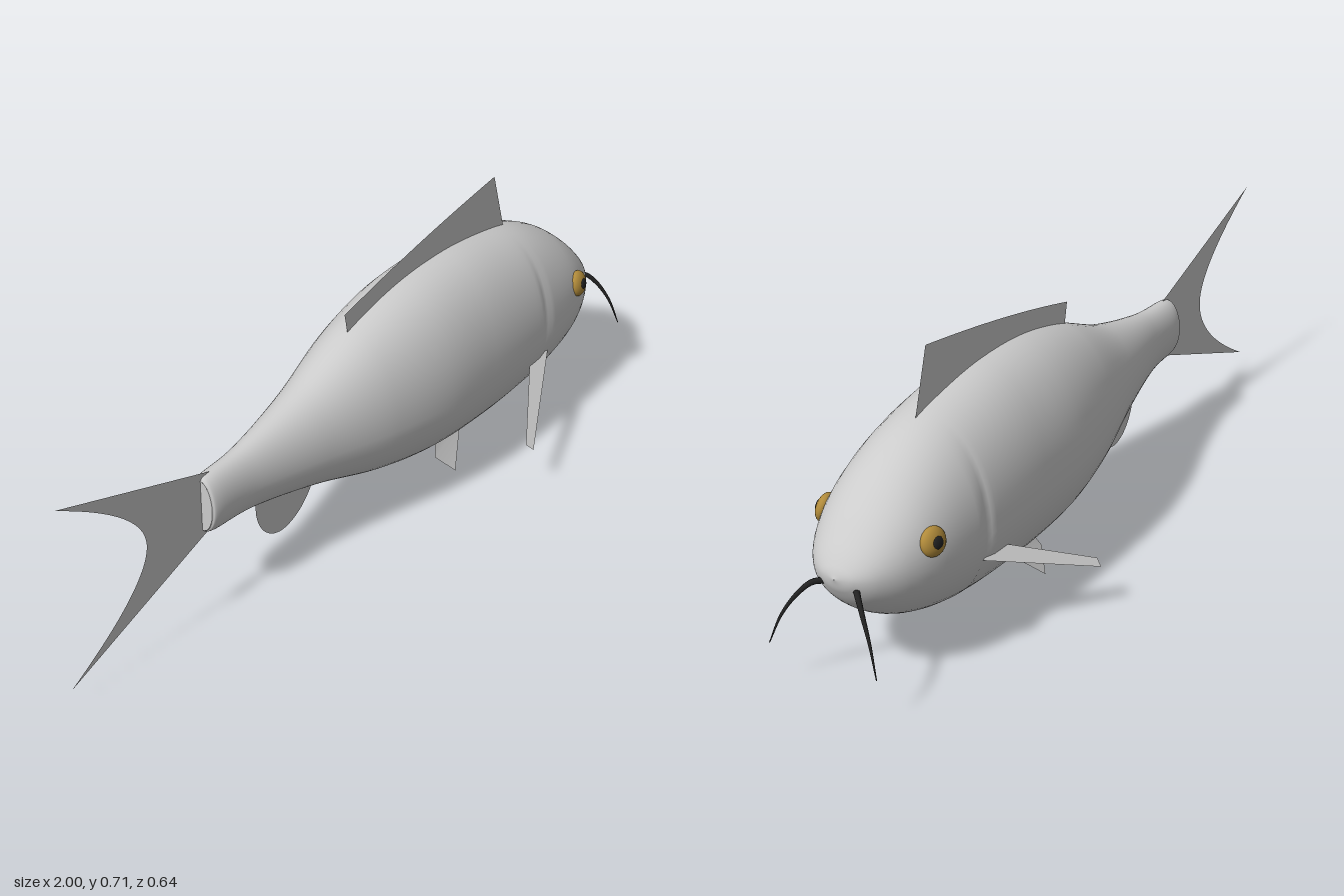
import * as THREE from 'three';
import { ParametricGeometry } from 'three/addons/geometries/ParametricGeometry.js';

// body stations, tail to nose: x, top, bottom, half width, height of widest line
const STATIONS = [
  [-0.552, 0.385, 0.242, 0.034, 0.313],
  [-0.53, 0.394, 0.234, 0.044, 0.313],
  [-0.4, 0.405, 0.226, 0.056, 0.31],
  [-0.2, 0.453, 0.182, 0.1, 0.302],
  [0, 0.535, 0.118, 0.152, 0.295],
  [0.18, 0.578, 0.084, 0.182, 0.29],
  [0.36, 0.587, 0.073, 0.187, 0.29],
  [0.52, 0.57, 0.078, 0.184, 0.29],
  [0.65, 0.54, 0.092, 0.175, 0.29],
  [0.76, 0.487, 0.124, 0.159, 0.292],
  [0.84, 0.426, 0.164, 0.13, 0.295],
  [0.9, 0.366, 0.215, 0.089, 0.296],
  [0.932, 0.325, 0.262, 0.046, 0.297],
  [0.944, 0.299, 0.297, 0.001, 0.298],
];

const material = (color = 0xcccccc, side = THREE.FrontSide) =>
  new THREE.MeshStandardMaterial({ color, side });
const skin = material();
const finSkin = material(0xcccccc, THREE.DoubleSide);
const gold = material(0xb08a3a);
const black = material(0x222222);

function part(name, geometry, mat) {
  const mesh = new THREE.Mesh(geometry, mat);
  mesh.name = name;
  return mesh;
}

// smooth body swept through the stations, with a shallow gill groove
function bodyGeometry() {
  const spine = new THREE.CatmullRomCurve3(
    STATIONS.map(s => new THREE.Vector3(s[0], s[1], s[2])), false, 'catmullrom', 0.5);
  const girth = new THREE.CatmullRomCurve3(
    STATIONS.map(s => new THREE.Vector3(s[0], s[3], s[4])), false, 'catmullrom', 0.5);
  const p = new THREE.Vector3(), g = new THREE.Vector3();
  return new ParametricGeometry((u, v, target) => {
    const t = THREE.MathUtils.clamp(v, 0, 1);
    spine.getPoint(t, p);
    girth.getPoint(t, g);
    const a = u * Math.PI * 2, c = Math.cos(a), s = Math.sin(a);
    const y = g.z + c * (c > 0 ? p.y - g.z : g.z - p.z);
    const groove = 0.006 * Math.exp(-(((p.x - 0.6) / 0.014) ** 2)) * s * s;
    target.set(p.x, y, s * (g.y - groove));
  }, 48, 104);
}

// flat fin in the plane of symmetry
function medianFin(name, draw) {
  const shape = new THREE.Shape();
  draw(shape);
  return part(name, new THREE.ShapeGeometry(shape, 16), finSkin);
}

// four-cornered side fin
function pairedFin(name, corners) {
  const geometry = new THREE.BufferGeometry();
  geometry.setAttribute('position', new THREE.Float32BufferAttribute(corners.flat(), 3));
  geometry.setIndex([0, 1, 2, 0, 2, 3]);
  geometry.computeVertexNormals();
  return part(name, geometry, finSkin);
}

// whisker tube tapering to its tip
function barbelGeometry(side) {
  const curve = new THREE.CatmullRomCurve3([
    [0.918, 0.272, 0.04], [0.942, 0.272, 0.062], [0.963, 0.245, 0.088],
    [0.983, 0.193, 0.119], [0.999, 0.12, 0.145],
  ].map(([x, y, z]) => new THREE.Vector3(x, y, z * side)));
  const rings = 24, sides = 8, radius = 0.008;
  const geometry = new THREE.TubeGeometry(curve, rings, radius, sides);
  const pos = geometry.attributes.position, v = new THREE.Vector3();
  for (let i = 0; i < pos.count; i++) {
    const t = Math.floor(i / (sides + 1)) / rings;
    const centre = curve.getPointAt(t);
    v.fromBufferAttribute(pos, i).sub(centre).multiplyScalar(1 - 0.85 * t).add(centre);
    pos.setXYZ(i, v.x, v.y, v.z);
  }
  return geometry;
}

export function createModel() {
  const fish = new THREE.Group();
  fish.name = 'fish';
  fish.add(part('body', bodyGeometry(), skin));

  const stump = part('tailStump', new THREE.CircleGeometry(1, 32), skin);
  stump.scale.set(0.034, 0.0715, 1);
  stump.rotation.y = -Math.PI / 2;
  stump.position.set(-0.552, 0.3135, 0);
  fish.add(stump);

  fish.add(medianFin('tailFin', s => {
    s.moveTo(-0.52, 0.395);
    s.lineTo(-1, 0.562);
    s.quadraticCurveTo(-0.735, 0.41, -0.735, 0.31);
    s.quadraticCurveTo(-0.735, 0.2, -1, 0.05);
    s.lineTo(-0.52, 0.235);
  }));
  fish.add(medianFin('dorsalFin', s => {
    s.moveTo(-0.015, 0.515);
    s.lineTo(-0.028, 0.583);
    s.quadraticCurveTo(0.24, 0.657, 0.575, 0.71);
    s.lineTo(0.626, 0.535);
    s.lineTo(0.3, 0.565);
  }));
  fish.add(medianFin('analFin', s => {
    s.moveTo(-0.36, 0.235);
    s.bezierCurveTo(-0.385, 0.15, -0.33, 0.075, -0.27, 0.075);
    s.bezierCurveTo(-0.22, 0.078, -0.18, 0.11, -0.15, 0.165);
    s.lineTo(-0.15, 0.2);
  }));

  // mirrored parts
  for (const [side, label] of [[1, 'Left'], [-1, 'Right']]) {
    fish.add(pairedFin('pectoralFin' + label, [
      [0.62, 0.232, 0.165 * side], [0.53, 0.232, 0.17 * side],
      [0.335, 0.136, 0.303 * side], [0.345, 0.122, 0.32 * side],
    ]));
    fish.add(pairedFin('pelvicFin' + label, [
      [0.365, 0.09, 0.07 * side], [0.255, 0.095, 0.07 * side],
      [0.235, 0.053, 0.088 * side], [0.277, 0.004, 0.124 * side],
    ]));

    const eye = new THREE.Group();
    eye.name = 'eye' + label;
    const iris = part('iris', new THREE.SphereGeometry(0.035, 24, 16), gold);
    iris.scale.z = 0.55;
    const pupil = part('pupil', new THREE.SphereGeometry(0.015, 16, 12), black);
    pupil.scale.z = 0.35;
    pupil.position.z = 0.0165 * side;
    eye.add(iris, pupil);
    eye.position.set(0.775, 0.354, 0.146 * side);
    eye.rotation.set(-0.22 * side, 0.2 * side, 0);
    fish.add(eye);

    fish.add(part('barbel' + label, barbelGeometry(side), black));
  }
  return fish;
}
